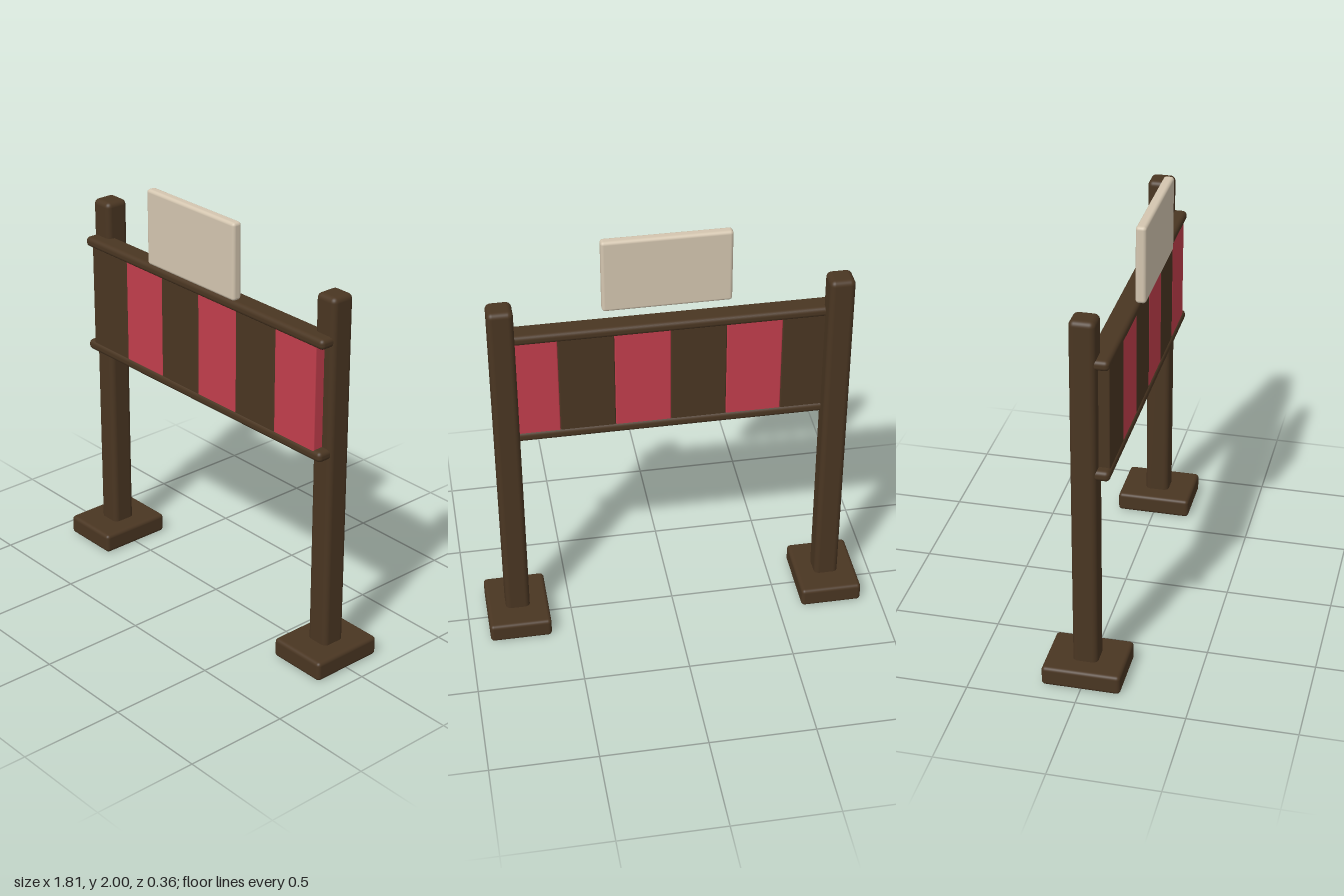
import * as THREE from 'three';
import { RoundedBoxGeometry } from 'three/addons/geometries/RoundedBoxGeometry.js';

export function createModel() {
  const model = new THREE.Group();
  model.name = 'bannerStand';

  const mat = (name, color) => {
    const m = new THREE.MeshStandardMaterial({ color });
    m.name = name;
    return m;
  };
  const wood = mat('darkWood', 0x4a3622);
  const red = mat('redPanel', 0xc23e4c);
  const cream = mat('creamBoard', 0xd4c6b0);

  // Rounded box given by its extents on each axis
  const block = (name, material, [x0, x1], [y0, y1], [z0, z1], radius) => {
    const geo = new RoundedBoxGeometry(x1 - x0, y1 - y0, z1 - z0, 4, radius);
    const mesh = new THREE.Mesh(geo, material);
    mesh.name = name;
    mesh.position.set((x0 + x1) / 2, (y0 + y1) / 2, (z0 + z1) / 2);
    model.add(mesh);
  };

  // Posts standing on square feet
  for (const [side, s] of [['left', 1], ['right', -1]]) {
    const x = 0.76 * s;
    block(side + 'Foot', wood, [x - 0.147, x + 0.147], [0, 0.094], [-0.181, 0.181], 0.018);
    block(side + 'Post', wood, [x - 0.058, x + 0.058], [0.07, 1.79], [-0.058, 0.058], 0.025);
  }

  // Rails above and below the panels
  block('topRail', wood, [-0.81, 0.81], [1.567, 1.615], [0.01, 0.115], 0.02);
  block('bottomRail', wood, [-0.81, 0.81], [1.037, 1.086], [0.01, 0.115], 0.02);

  // Six alternating panels
  const width = 1.53 / 6;
  for (let i = 0; i < 6; i++) {
    const x = -0.765 + i * width;
    block('panel' + (i + 1), i % 2 ? red : wood, [x, x + width], [1.075, 1.577], [0.018, 0.108], 0.006);
  }

  // Blank board above the top rail
  block('signBoard', cream, [-0.295, 0.295], [1.64, 2], [0.108, 0.156], 0.015);

  return model;
}
